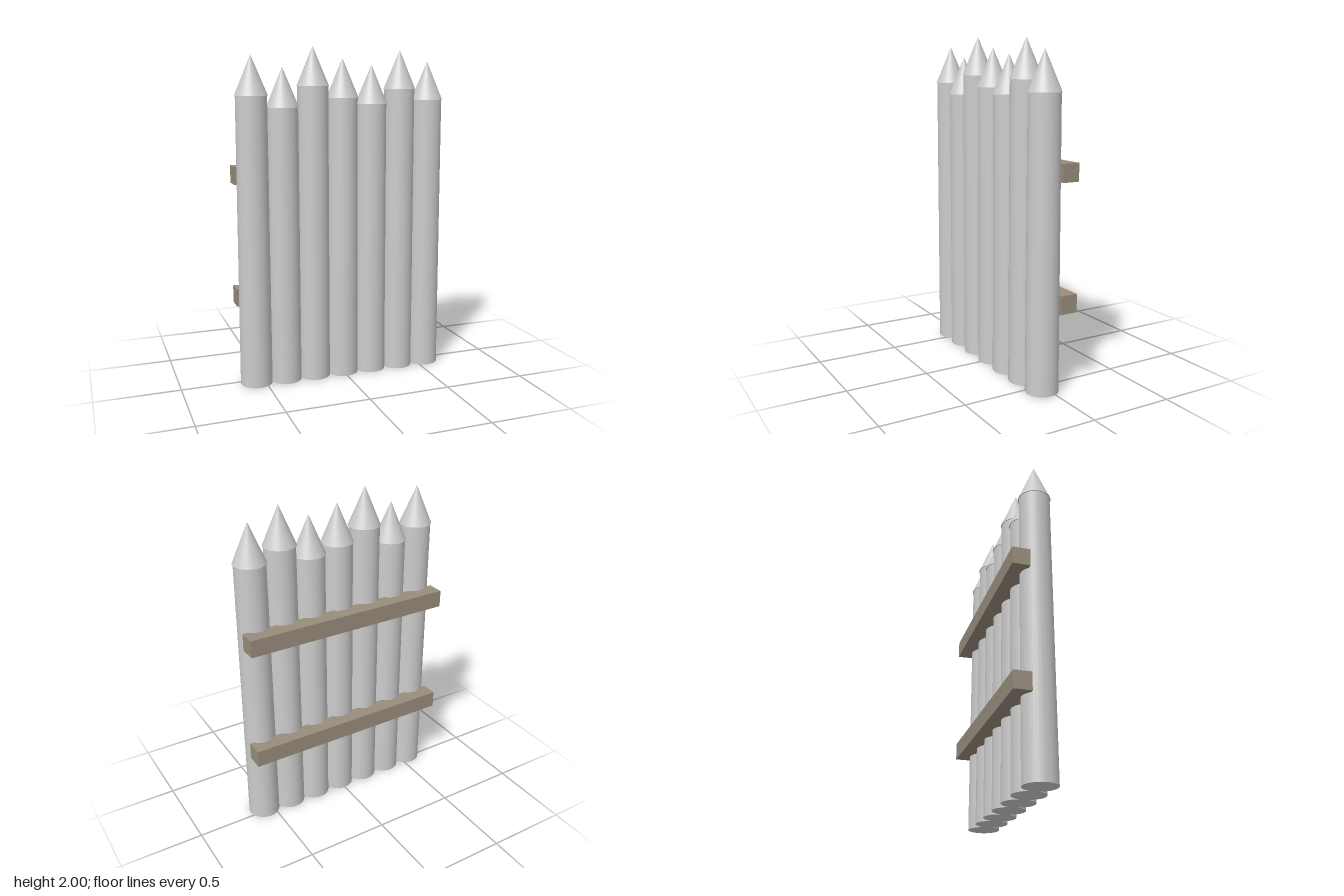
import * as THREE from 'three';

export function createModel() {
  const model = new THREE.Group();
  model.name = 'palisadeFence';
  const stakeMaterial = new THREE.MeshStandardMaterial({ color: 0xcccccc });
  const railMaterial = new THREE.MeshStandardMaterial({ color: 0x988d7c });

  // Sharpened stakes, listed by tip height from the model's right to its left
  const tipHeights = [1.948, 1.88, 2.0, 1.932, 1.895, 1.982, 1.915];
  const spacing = 0.184, radius = 0.096, pointHeight = 0.23;
  const pointGeometry = new THREE.ConeGeometry(radius, pointHeight, 32);
  tipHeights.forEach((tip, i) => {
    const stake = new THREE.Group();
    stake.name = `stake${i + 1}`;
    stake.position.set((i - 3) * spacing, 0, 0.035);

    // Slightly tapered post
    const postHeight = tip - pointHeight;
    const post = new THREE.Mesh(
      new THREE.CylinderGeometry(0.091, radius, postHeight, 32), stakeMaterial);
    post.name = 'post';
    post.position.y = postHeight / 2;

    // Pointed top, a touch wider than the post beneath it
    const point = new THREE.Mesh(pointGeometry, stakeMaterial);
    point.name = 'point';
    point.position.y = tip - pointHeight / 2;

    stake.add(post, point);
    model.add(stake);
  });

  // Two crossrails across the back
  const railGeometry = new THREE.BoxGeometry(1.296, 0.104, 0.104);
  [['lowerRail', 0.52], ['upperRail', 1.256]].forEach(([name, y]) => {
    const rail = new THREE.Mesh(railGeometry, railMaterial);
    rail.name = name;
    rail.position.set(0, y, -0.079);
    model.add(rail);
  });

  return model;
}
